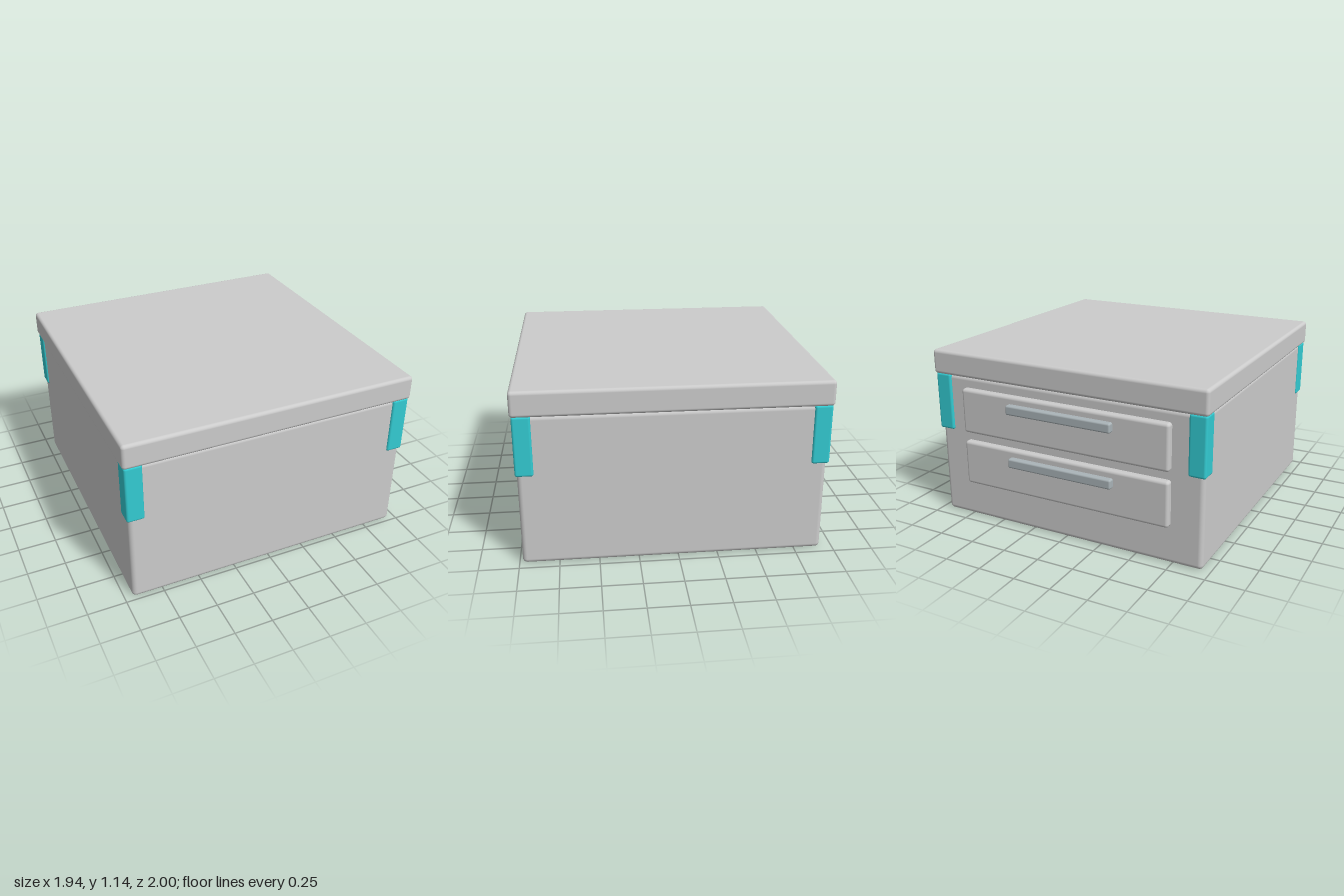
import * as THREE from 'three';
import { RoundedBoxGeometry } from 'three/addons/geometries/RoundedBoxGeometry.js';

export function createModel() {
  const model = new THREE.Group();
  const grey = new THREE.MeshStandardMaterial({ color: 0xcccccc });
  const steel = new THREE.MeshStandardMaterial({ color: 0xaab4b8 });
  const teal = new THREE.MeshStandardMaterial({ color: 0x33ccd3 });

  // Rounded box given by its [min, max] extent on each axis
  function block(name, [x0, x1], [y0, y1], [z0, z1], radius, material) {
    const geometry = new RoundedBoxGeometry(x1 - x0, y1 - y0, z1 - z0, 4, radius);
    const mesh = new THREE.Mesh(geometry, material);
    mesh.position.set((x0 + x1) / 2, (y0 + y1) / 2, (z0 + z1) / 2);
    mesh.name = name;
    model.add(mesh);
  }

  // Case and lid
  block('body', [-0.95, 0.95], [0, 0.985], [-0.92, 0.98], 0.03, grey);
  block('lid', [-0.97, 0.97], [0.98, 1.142], [-0.945, 1], 0.022, grey);

  // Coloured guards on the four upper corners
  for (const [side, x] of [['left', [0.848, 0.961]], ['right', [-0.961, -0.848]]]) {
    block(`${side}FrontCornerGuard`, x, [0.6, 0.985], [0.878, 0.991], 0.015, teal);
    block(`${side}BackCornerGuard`, x, [0.6, 0.985], [-0.936, -0.823], 0.015, teal);
  }

  // Two drawers on the back, each with a bar handle
  for (const [level, y] of [['lower', 0.25], ['upper', 0.61]]) {
    block(`${level}Drawer`, [-0.74, 0.74], [y, y + 0.3], [-0.962, -0.88], 0.02, grey);
    block(`${level}DrawerHandle`, [-0.373, 0.373], [y + 0.19, y + 0.253], [-1, -0.95], 0.012, steel);
  }

  return model;
}
